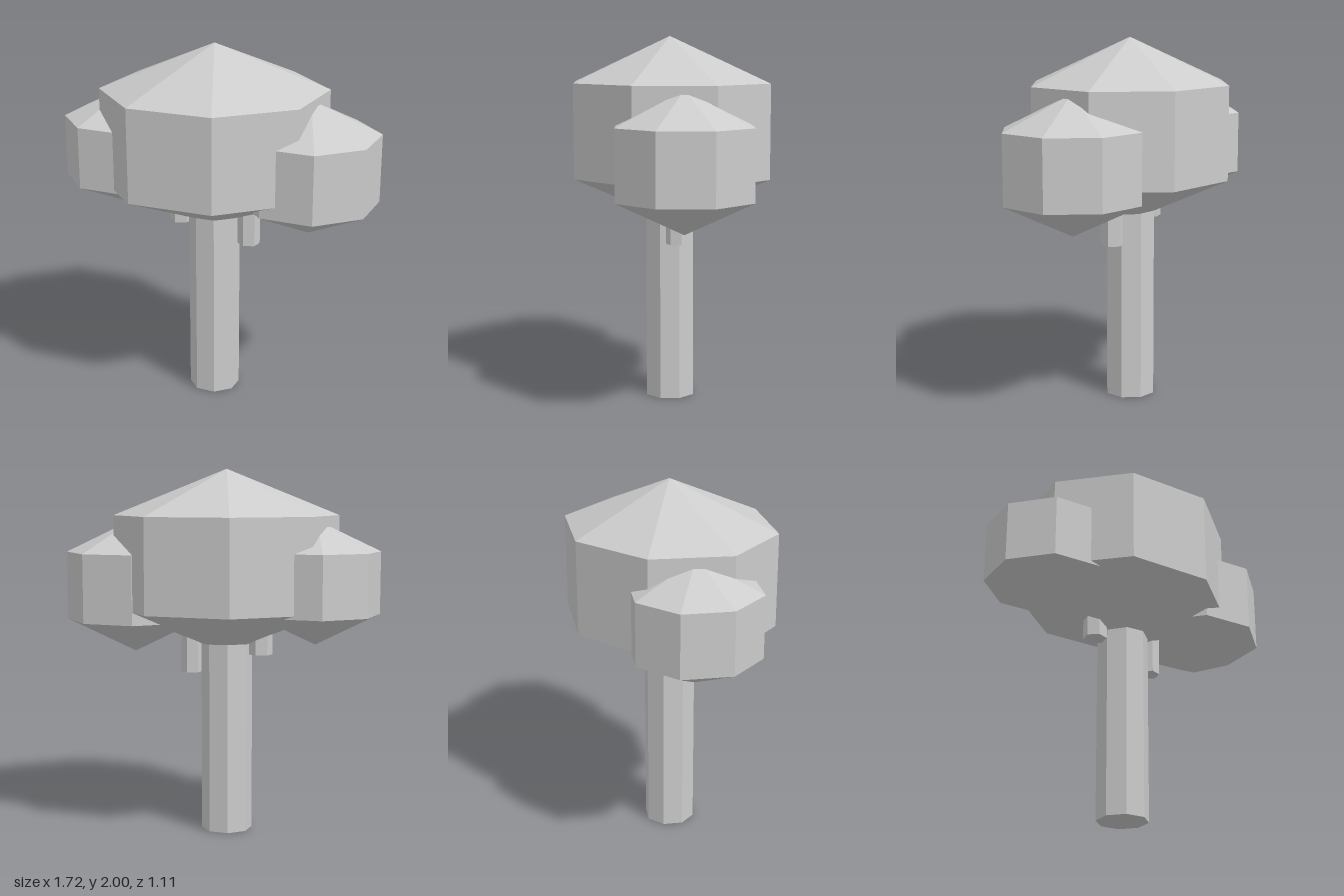
import * as THREE from 'three';

export function createModel() {
  const model = new THREE.Group();
  model.name = 'tree';
  const grey = new THREE.MeshStandardMaterial({ color: 0xcccccc, flatShading: true });
  grey.name = 'plain grey';

  const add = (name, geometry, x, y, z) => {
    const mesh = new THREE.Mesh(geometry, grey);
    mesh.name = name;
    mesh.position.set(x, y, z);
    model.add(mesh);
    return mesh;
  };

  // Upright prism standing between two heights
  const post = (name, x, z, r, y0, y1, sides) =>
    add(name, new THREE.CylinderGeometry(r, r, y1 - y0, sides), x, (y0 + y1) / 2, z);

  // Eight-sided crown: straight wall with a pointed cap above and below
  const crown = (name, x, z, rx, rz, y0, y1, tip) => {
    const profile = [[0, y0 - tip], [1, y0], [1, y1], [0, y1 + tip]]
      .map(([r, y]) => new THREE.Vector2(r, y));
    add(name, new THREE.LatheGeometry(profile, 8).scale(rx, 1, rz), x, 0, z);
  };

  // Trunk and the two short branch stubs
  post('trunk', -0.035, 0, 0.14, 0, 1.3, 8);
  post('leftBranch', 0.155, 0.037, 0.062, 0.885, 1.3, 6).rotation.y = Math.PI / 6;
  post('rightBranch', -0.22, -0.05, 0.065, 0.99, 1.35, 6).rotation.y = Math.PI / 6;

  // Foliage
  crown('mainCrown', -0.033, 0, 0.617, 0.557, 1.24, 1.75, 0.25);
  crown('leftCrown', 0.475, 0.135, 0.38, 0.38, 1.17, 1.545, 0.183);
  crown('rightCrown', -0.51, -0.14, 0.35, 0.35, 1.222, 1.56, 0.167);

  return model;
}
